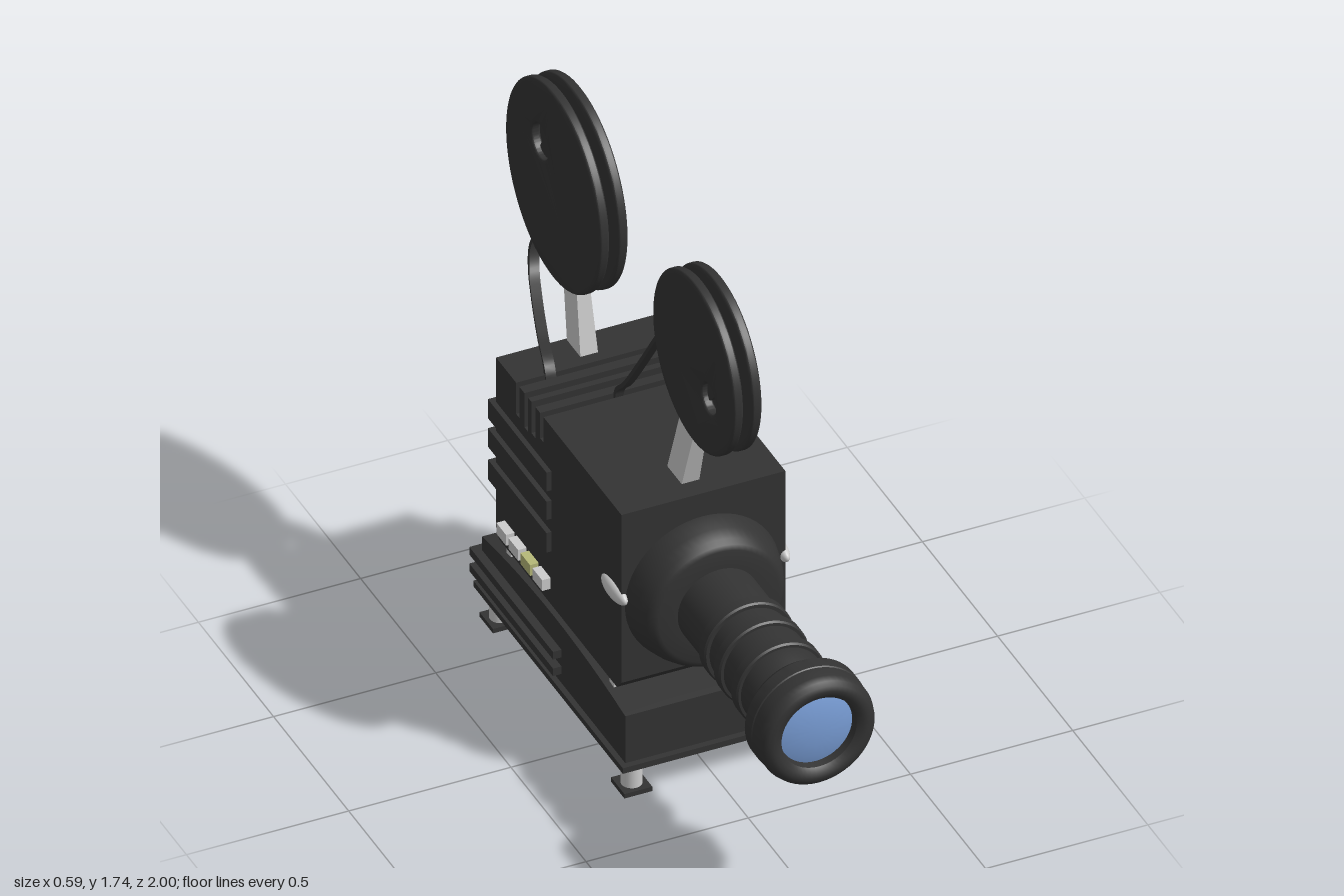
import * as THREE from 'three';
import { toCreasedNormals } from 'three/addons/utils/BufferGeometryUtils.js';

const mat = (color, extra = {}) => new THREE.MeshStandardMaterial({ color, ...extra });

export function createModel() {
  const root = new THREE.Group();
  const dark = mat(0x333333), grey = mat(0xcccccc), blue = mat(0x7a9fd8), olive = mat(0xb5b878);
  const film = mat(0x333333, { side: THREE.DoubleSide });

  const add = (name, geo, material, x = 0, y = 0, z = 0) => {
    const m = new THREE.Mesh(geo, material);
    m.name = name;
    m.position.set(x, y, z);
    root.add(m);
    return m;
  };
  // Box given by its limits
  const box = (name, material, x0, x1, y0, y1, z0, z1) =>
    add(name, new THREE.BoxGeometry(x1 - x0, y1 - y0, z1 - z0), material,
      (x0 + x1) / 2, (y0 + y1) / 2, (z0 + z1) / 2);
  // Side profile (z, y) extruded across the width
  const sideExtrude = (shape, width, opts = {}) => {
    const g = new THREE.ExtrudeGeometry(shape, { depth: width, bevelEnabled: false, ...opts });
    g.translate(0, 0, -width / 2).rotateY(-Math.PI / 2);
    return toCreasedNormals(g, 0.6);
  };
  const profile = pts => new THREE.Shape(pts.map(p => new THREE.Vector2(p[0], p[1])));

  // Housing with cooling slots cut across the top
  const top = 0.927;
  const outline = [[-0.61, 0.316], [0.175, 0.316], [0.206, 0.35], [0.206, top]];
  for (const [a, b, y] of [[-0.313, -0.335, 0.84], [-0.367, -0.394, 0.82], [-0.415, -0.44, 0.81], [-0.474, -0.495, 0.82]])
    outline.push([a, top], [a, y], [b, y], [b, top]);
  outline.push([-0.629, top], [-0.629, 0.345]);
  add('housing', sideExtrude(profile(outline), 0.505), dark, -0.002);
  for (const [y0, y1] of [[0.71, 0.775], [0.612, 0.675], [0.5, 0.567]])
    box('housingRib', dark, -0.27, 0.268, y0, y1, -0.65, -0.26);

  // Base with gently arched top, ribs and spacer bars
  const base = new THREE.Shape();
  base.moveTo(-0.688, 0.085);
  base.lineTo(0.265, 0.085);
  base.lineTo(0.265, 0.278);
  base.quadraticCurveTo(-0.21, 0.35, -0.688, 0.278);
  add('base', sideExtrude(base, 0.54), dark);
  box('baseRim', dark, -0.287, 0.283, 0.098, 0.117, -0.71, 0.285);
  for (const y of [0.148, 0.205])
    box('baseRib', dark, -0.296, 0.291, y, y + 0.026, -0.717, -0.16);
  for (const z of [0.13, -0.555])
    box('spacerBar', grey, -0.25, 0.25, 0.28, 0.325, z - 0.015, z + 0.015);

  // Feet
  for (const x of [-0.232, 0.217]) for (const z of [0.225, -0.65]) {
    add('footPost', new THREE.CylinderGeometry(0.031, 0.031, 0.08, 24), grey, x, 0.05, z);
    box('footPad', dark, x - 0.043, x + 0.043, 0, 0.015, z - 0.045, z + 0.045);
  }

  // Oval side knobs and control buttons
  for (const s of [-1, 1])
    add('sideKnob', new THREE.SphereGeometry(1, 32, 16).scale(0.022, 0.029, 0.076), grey, s * 0.25, 0.635, 0.15);
  for (let i = 0; i < 4; i++)
    box('button', i === 2 ? olive : grey, -0.281, -0.24, 0.368, 0.405, -0.57 + i * 0.08, -0.505 + i * 0.08);

  // Lens: turned profiles (radius, z)
  const turned = (name, pts, material) => {
    const g = new THREE.LatheGeometry(pts.map(p => new THREE.Vector2(p[0], p[1])), 56).rotateX(Math.PI / 2);
    return add(name, toCreasedNormals(g, 0.55), material, -0.006, 0.61, 0);
  };
  turned('lensFlange', [[0.238, 0.19], [0.238, 0.21], [0.226, 0.26], [0.212, 0.295], [0.2, 0.31], [0.185, 0.316], [0.12, 0.316]], dark);
  turned('lensBarrel', [[0.126, 0.3], [0.126, 0.47], [0.122, 0.55], [0.126, 0.64], [0.126, 0.74], [0.12, 0.82], [0.112, 0.838], [0.112, 0.87]], dark);
  for (const z of [0.48, 0.578, 0.694])
    turned('lensRing', [[0.11, z], [0.134, z], [0.139, z + 0.005], [0.139, z + 0.037], [0.134, z + 0.042], [0.11, z + 0.042]], dark);
  turned('lensHead', [[0.1, 0.83], [0.135, 0.834], [0.155, 0.845], [0.168, 0.862], [0.172, 0.874], [0.179, 0.876],
    [0.179, 0.918], [0.176, 0.921], [0.177, 0.965], [0.171, 0.985], [0.16, 0.996], [0.145, 1], [0.13, 0.997], [0.116, 0.985], [0.11, 0.95]], dark);
  turned('lensGlass', [[0.113, 0.962], [0.09, 0.969], [0.05, 0.975], [0, 0.978]], blue);

  // Film reels: two flanges with a round window, on a hub
  const reel = (name, z, y, r, hubR, hz, hy, hr) => {
    const disc = new THREE.Shape().absarc(0, 0, r, 0, Math.PI * 2);
    disc.holes.push(new THREE.Path().absarc(hz, hy, hr, 0, Math.PI * 2, true));
    const g = sideExtrude(disc, 0.012, {
      bevelEnabled: true, bevelThickness: 0.01, bevelSize: 0.012, bevelOffset: -0.012, bevelSegments: 4, curveSegments: 40,
    });
    for (const x of [-0.042, 0.015]) add(name + 'Flange', g, dark, x, y, z);
    add(name + 'Hub', new THREE.CylinderGeometry(hubR, hubR, 0.05, 40).rotateZ(Math.PI / 2), dark, -0.0135, y, z);
  };
  reel('frontReel', 0.257, 1.425, 0.273, 0.115, 0.1, -0.06, 0.046);
  reel('rearReel', -0.678, 1.425, 0.317, 0.135, -0.09, 0.095, 0.054);

  // Reel arms: leaning posts, tapering between the flanges
  const arm = (name, z0, z1, y1, width) => {
    const y0 = 0.9, h = y1 - y0;
    const g = new THREE.BoxGeometry(0.056, h, width).translate(0, h / 2, 0);
    const p = g.attributes.position;
    for (let i = 0; i < p.count; i++) {
      const t = p.getY(i) / h;
      p.setX(i, p.getX(i) * (1 - 0.4 * t));
      p.setZ(i, p.getZ(i) + (z1 - z0) * t);
    }
    g.computeVertexNormals();
    add(name, g, grey, -0.012, y0, z0);
  };
  arm('frontArm', 0.085, 0.205, 1.275, 0.096);
  arm('rearArm', -0.572, -0.64, 1.25, 0.09);

  // Film strips: ribbons with slight thickness swept along a curve
  const ribbon = (name, pts, width) => {
    const curve = new THREE.CatmullRomCurve3(pts.map(p => new THREE.Vector3(...p)));
    const n = 40, t = 0.006, pos = [], idx = [];
    for (let i = 0; i <= n; i++) {
      const c = curve.getPoint(i / n), d = curve.getTangent(i / n);
      const nrm = new THREE.Vector3(0, d.z, -d.y).normalize().multiplyScalar(t);
      for (const [a, b] of [[-1, -1], [1, -1], [1, 1], [-1, 1]])
        pos.push(c.x + a * width / 2, c.y + b * nrm.y, c.z + b * nrm.z);
      if (i < n) for (let k = 0; k < 4; k++) {
        const a = i * 4 + k, b = i * 4 + (k + 1) % 4;
        idx.push(a, b, a + 4, b, b + 4, a + 4);
      }
    }
    const g = new THREE.BufferGeometry();
    g.setAttribute('position', new THREE.Float32BufferAttribute(pos, 3));
    g.setIndex(idx);
    add(name, toCreasedNormals(g, 0.6), film);
  };
  ribbon('frontFilm', [[-0.015, 1.40, 0.03], [-0.015, 1.34, -0.025], [-0.015, 1.15, -0.16], [-0.015, 1.0, -0.27], [-0.015, 0.94, -0.325], [-0.015, 0.86, -0.335]], 0.026);
  ribbon('rearFilm', [[-0.15, 0.87, -0.485], [-0.148, 0.94, -0.505], [-0.115, 0.965, -0.62], [-0.07, 1.005, -0.76],
    [-0.045, 1.04, -0.83], [-0.03, 1.1, -0.855], [-0.015, 1.15, -0.845], [-0.014, 1.2, -0.81]], 0.032);

  return root;
}
